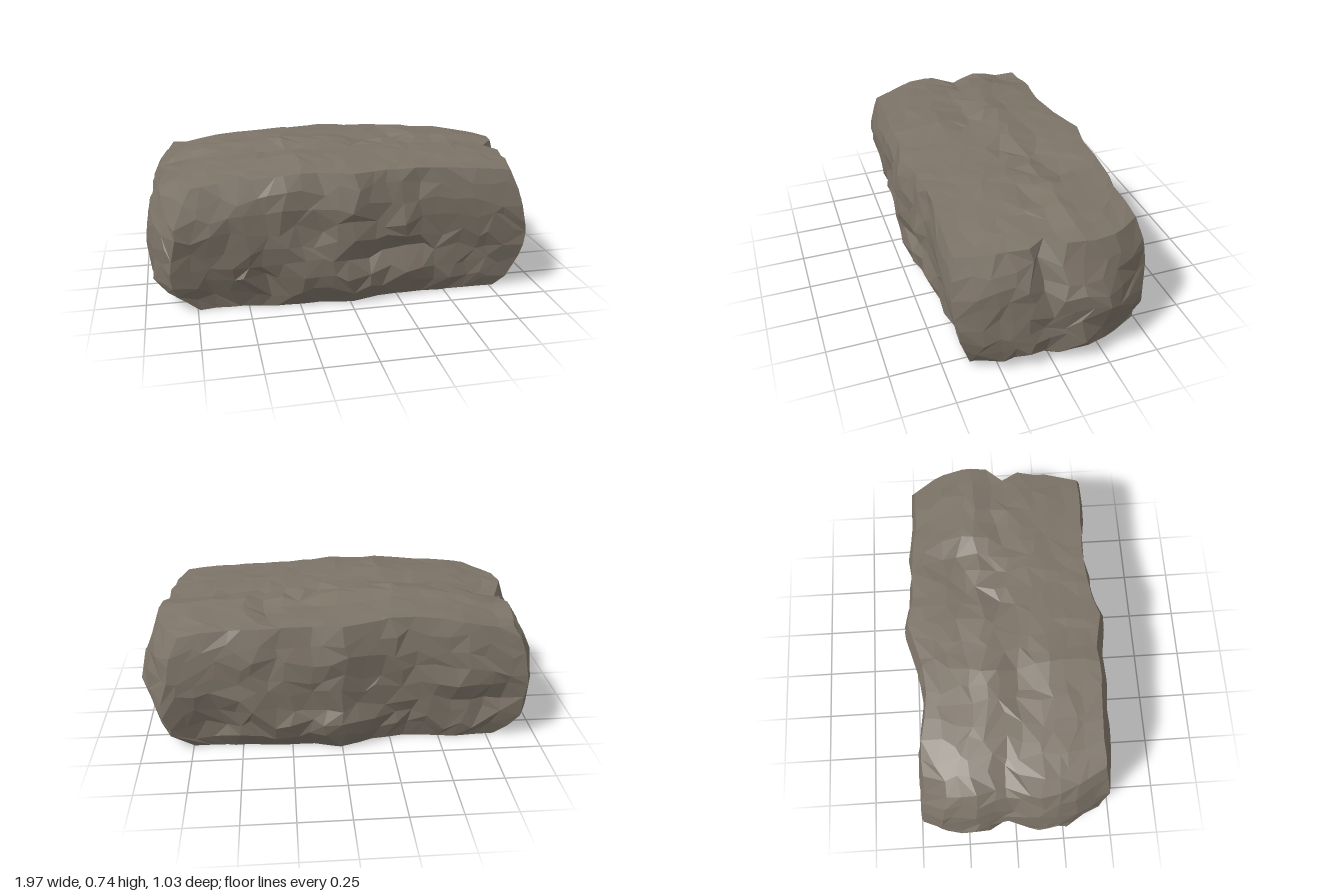
import * as THREE from 'three';

// Linear lookup in [position, value] pairs
function lookup(table, p) {
  if (p <= table[0][0]) return table[0][1];
  for (let i = 1; i < table.length; i++) {
    const [p0, v0] = table[i - 1], [p1, v1] = table[i];
    if (p <= p1) return v0 + (v1 - v0) * (p - p0) / (p1 - p0);
  }
  return table[table.length - 1][1];
}

// Repeatable hash in -1..1 and a smooth value noise built on it
function hash(a, b, c, seed) {
  const s = Math.sin(a * 127.1 + b * 311.7 + c * 74.7 + seed * 53.3) * 43758.5453;
  return (s - Math.floor(s)) * 2 - 1;
}
function noise(x, y, z, seed) {
  const i = Math.floor(x), j = Math.floor(y), k = Math.floor(z);
  let sum = 0;
  for (let n = 0; n < 8; n++) {
    const a = n & 1, b = (n >> 1) & 1, c = n >> 2;
    const w = (1 - Math.abs(x - i - a)) * (1 - Math.abs(y - j - b)) * (1 - Math.abs(z - k - c));
    sum += w * hash(i + a, j + b, k + c, seed);
  }
  return sum;
}
const bump = (d, width) => Math.max(0, 1 - Math.abs(d) / width);

// Sum of chips, each [centre p, centre q, half width, half height, depth]
const chipped = (chips, p, q) => chips.reduce((sum, [cp, cq, w, h, depth]) =>
  sum + depth * Math.min(1, 1.6 * bump(p - cp, w) * bump(q - cq, h)), 0);

// Plan outline: how far the slab reaches on each of its four sides
const frontZ = [[-0.88, 0.46], [-0.6, 0.48], [-0.35, 0.49], [-0.2, 0.475], [0, 0.51], [0.2, 0.475], [0.36, 0.47], [0.42, 0.45], [0.88, 0.462]];
const backZ = [[-0.9, 0.455], [-0.6, 0.465], [-0.37, 0.435], [-0.2, 0.455], [0.02, 0.52], [0.2, 0.485], [0.4, 0.5], [0.6, 0.475], [0.88, 0.47]];
const rightX = [[-0.5, 0.88], [-0.35, 0.965], [-0.2, 0.995], [-0.05, 0.98], [0.06, 0.94], [0.12, 0.96], [0.35, 0.94], [0.5, 0.9]];
const leftX = [[-0.5, 0.92], [-0.42, 0.955], [-0.2, 0.965], [-0.02, 0.92], [0.1, 0.985], [0.3, 0.955], [0.5, 0.87]];
// Inset of the ends and of the long sides, by relative height
const endInset = [[0, 0.13], [0.05, 0.09], [0.18, 0.025], [0.35, 0.01], [0.55, 0], [0.72, 0.03], [0.9, 0.075], [1, 0.105]];
const sideInset = [[0, 0.1], [0.07, 0.07], [0.2, 0.025], [0.4, 0.02], [0.6, 0.002], [0.72, 0], [0.9, 0.015], [1, 0.035]];
// Crown of the top along its length and its depth
const topAlong = [[-0.9, 0.68], [-0.75, 0.697], [-0.5, 0.713], [-0.27, 0.735], [-0.1, 0.72], [0.3, 0.717], [0.6, 0.703], [0.8, 0.692], [0.9, 0.675]];
const topAcross = [[-0.5, -0.024], [-0.25, -0.018], [-0.08, 0.003], [-0.02, -0.014], [0.2, -0.014], [0.5, -0.032]];
// Chips: front and back by (x, height), right end by (z, height), top by (x, z)
const frontChips = [[0.15, 0.25, 0.3, 0.08, 0.04], [-0.75, 0.1, 0.25, 0.15, 0.035], [-0.42, 0.17, 0.15, 0.14, 0.04],
  [0.07, 0.42, 0.13, 0.14, 0.025], [0.7, 0.2, 0.25, 0.13, 0.035], [-0.85, 0.28, 0.15, 0.08, 0.03], [0.39, 0.5, 0.06, 0.25, 0.03]];
const backChips = [[-0.6, 0.22, 0.35, 0.1, 0.035], [0.1, 0.28, 0.4, 0.09, 0.035], [0.65, 0.2, 0.25, 0.12, 0.035], [0.4, 0.5, 0.07, 0.25, 0.03]];
const rightChips = [[0.05, 0.55, 0.08, 0.25, 0.045], [0.25, 0.3, 0.2, 0.12, 0.025], [-0.32, 0.17, 0.12, 0.1, 0.04], [-0.42, 0.4, 0.14, 0.12, 0.03], [-0.03, 0.25, 0.1, 0.13, 0.025]];
const topChips = [[0.22, -0.2, 0.25, 0.15, 0.025], [-0.33, 0.06, 0.22, 0.13, 0.02], [-0.88, -0.07, 0.17, 0.12, 0.035],
  [0.4, -0.25, 0.07, 0.25, 0.02], [0.4, -0.03, 0.55, 0.07, 0.02], [-0.85, -0.4, 0.16, 0.14, 0.025]];

function buildSlab() {
  const nx = 20, ny = 8, nz = 11;
  const geo = new THREE.BoxGeometry(2, 2, 2, nx, ny, nz);
  const pos = geo.attributes.position;

  for (let i = 0; i < pos.count; i++) {
    const c = [pos.getX(i), pos.getY(i), pos.getZ(i)].map((n) => Math.round(n * 1000) / 1000);
    // Shuffle the grid so the facets become irregular
    const [u, v, w] = c.map((n, k) => Math.abs(n) > 0.999 ? n
      : n + 0.7 / [nx, ny, nz][k] * hash(c[0], c[1], c[2], k + 1));
    const t = (v + 1) / 2, x0 = u * 0.93, z0 = w * 0.5;
    // Broad flat panels above, more broken towards the ground
    const strength = t < 0.03 ? 0.4 : 1 - 0.6 * t;
    const rough = (seed) => 0.03 * noise(x0 * 4 + 9, t * 5 + 3, z0 * 4 + 7, seed)
      + 0.013 * hash(c[0], c[1], c[2], seed + 10);

    let ex = lookup(u > 0 ? rightX : leftX, z0) - lookup(endInset, t);
    let ez = lookup(w > 0 ? frontZ : backZ, x0) - lookup(sideInset, t);
    let y = t * (lookup(topAlong, x0) + lookup(topAcross, z0));
    const high = y;

    // Rough ends and long sides with their own chips, ledges and clefts
    if (Math.abs(u) === 1) {
      ex += strength * rough(4);
      if (u > 0) ex -= chipped(rightChips, z0, high);
    }
    if (Math.abs(w) === 1) {
      ez += strength * rough(5) - chipped(w > 0 ? frontChips : backChips, x0, high);
    }
    // Top stays gently broken, bottom stays flat
    if (v === 1) y += 0.25 * rough(7) - chipped(topChips, x0, z0);
    // Proud points are worn down to the block's overall limits
    pos.setXYZ(i, u * Math.min(ex, 1), Math.min(y, 0.742), w * Math.min(ez, 0.526));
  }

  // Turn some quad diagonals for a natural break pattern
  const idx = geo.index;
  for (let q = 0; q < idx.count; q += 6) {
    if (hash(q, 1, 2, 3) > 0) continue;
    const a = idx.getX(q), b = idx.getX(q + 1), d = idx.getX(q + 2), e = idx.getX(q + 4);
    [a, b, e, a, e, d].forEach((n, k) => idx.setX(q + k, n));
  }

  const flat = geo.toNonIndexed();
  flat.clearGroups();
  flat.computeVertexNormals();
  return flat;
}

export function createModel() {
  const group = new THREE.Group();
  group.name = 'rock';
  const stone = new THREE.MeshStandardMaterial({ color: 0x7d7468, flatShading: true });
  stone.name = 'stone';
  const slab = new THREE.Mesh(buildSlab(), stone);
  slab.name = 'rockSlab';
  group.add(slab);
  return group;
}
